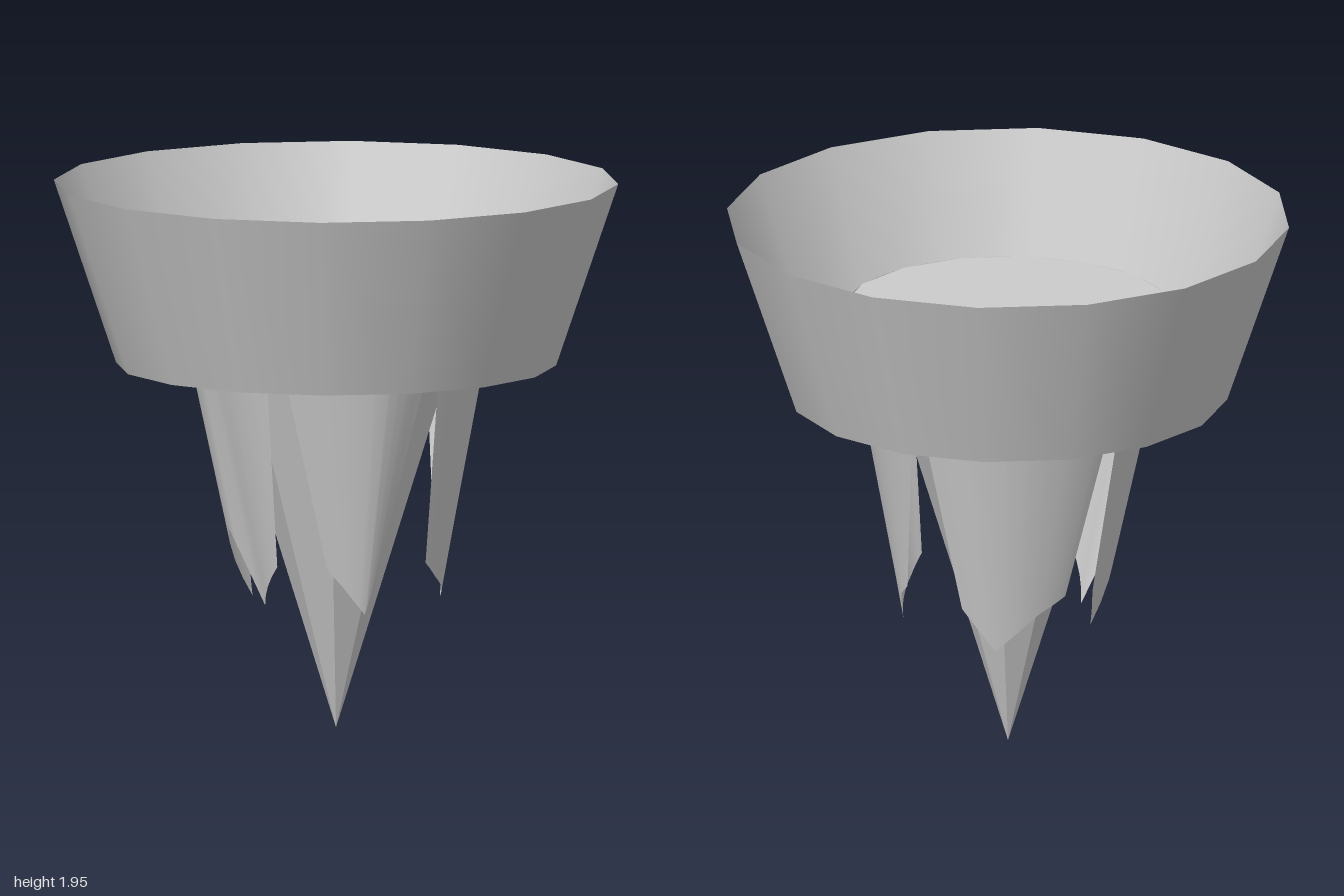
import * as THREE from 'three';

const material = new THREE.MeshStandardMaterial({ color: 0xcccccc, side: THREE.DoubleSide });
const flatMaterial = new THREE.MeshStandardMaterial({ color: 0xcccccc, side: THREE.DoubleSide, flatShading: true });

// Point on a circle: angle in degrees from +x towards +z
function polar(angle, r, y) {
  const a = THREE.MathUtils.degToRad(angle);
  return [r * Math.cos(a), y, r * Math.sin(a)];
}

// Curved shard: a ruled surface from an arc under the cup floor to a jagged hem of [angle, radius, y]
function shardGeometry(topStart, topEnd, hem) {
  const steps = 4, positions = [], index = [];
  const first = hem[0][0], span = hem[hem.length - 1][0] - first;
  const count = (hem.length - 1) * steps;
  for (let i = 0; i <= count; i++) {
    const k = Math.min(Math.floor(i / steps), hem.length - 2);
    const t = i / steps - k;
    const [angle, r, y] = hem[k].map((v, j) => THREE.MathUtils.lerp(v, hem[k + 1][j], t));
    const topAngle = THREE.MathUtils.lerp(topStart, topEnd, (angle - first) / span);
    positions.push(...polar(topAngle, 0.58, 1.62), ...polar(angle, r, y));
    if (i < count) {
      const a = i * 2;
      index.push(a, a + 2, a + 1, a + 1, a + 2, a + 3);
    }
  }
  const geometry = new THREE.BufferGeometry();
  geometry.setAttribute('position', new THREE.Float32BufferAttribute(positions, 3));
  geometry.setIndex(index);
  geometry.computeVertexNormals();
  return geometry;
}

export function createModel() {
  const group = new THREE.Group();
  const add = (name, geometry, mat = material) => {
    const mesh = new THREE.Mesh(geometry, mat);
    mesh.name = name;
    group.add(mesh);
  };

  // Thin flared cup with a raised centre floor, one band per profile edge for sharp creases
  const profile = [[0, 1.62], [0.585, 1.62], [0.585, 1.31], [0.78, 1.31], [1, 1.96]]
    .map(([r, y]) => new THREE.Vector2(r, y));
  ['cupFloor', 'floorStep', 'cupBase', 'cupWall'].forEach((name, i) =>
    add(name, new THREE.LatheGeometry([profile[i], profile[i + 1]], 16)));

  // Faceted spike pointing down
  const spike = new THREE.CylinderGeometry(0.5, 0, 1.61, 8, 1, false, Math.PI / 8);
  spike.translate(0, 0.815, 0);
  add('spike', spike, flatMaterial);

  // Jagged shards around the spike
  add('frontLeftShard', shardGeometry(22, 89,
    [[42, 0.39, 0.63], [50, 0.41, 0.47], [61, 0.4, 0.57], [69, 0.39, 0.63]]));
  add('backLeftShard', shardGeometry(-84, 23,
    [[-53, 0.39, 0.64], [-43, 0.39, 0.59], [-33, 0.37, 0.47], [-18, 0.375, 0.52], [-3, 0.38, 0.57], [9, 0.385, 0.63]]));
  add('backRightShard', shardGeometry(-168, -80,
    [[-150, 0.39, 0.66], [-135, 0.38, 0.6], [-112, 0.38, 0.47], [-94, 0.39, 0.62]]));
  add('frontRightShard', shardGeometry(91, 192,
    [[97, 0.385, 0.63], [121, 0.3, 0.47], [133, 0.41, 0.75], [169, 0.305, 0.47], [180, 0.34, 0.62]]));

  return group;
}
